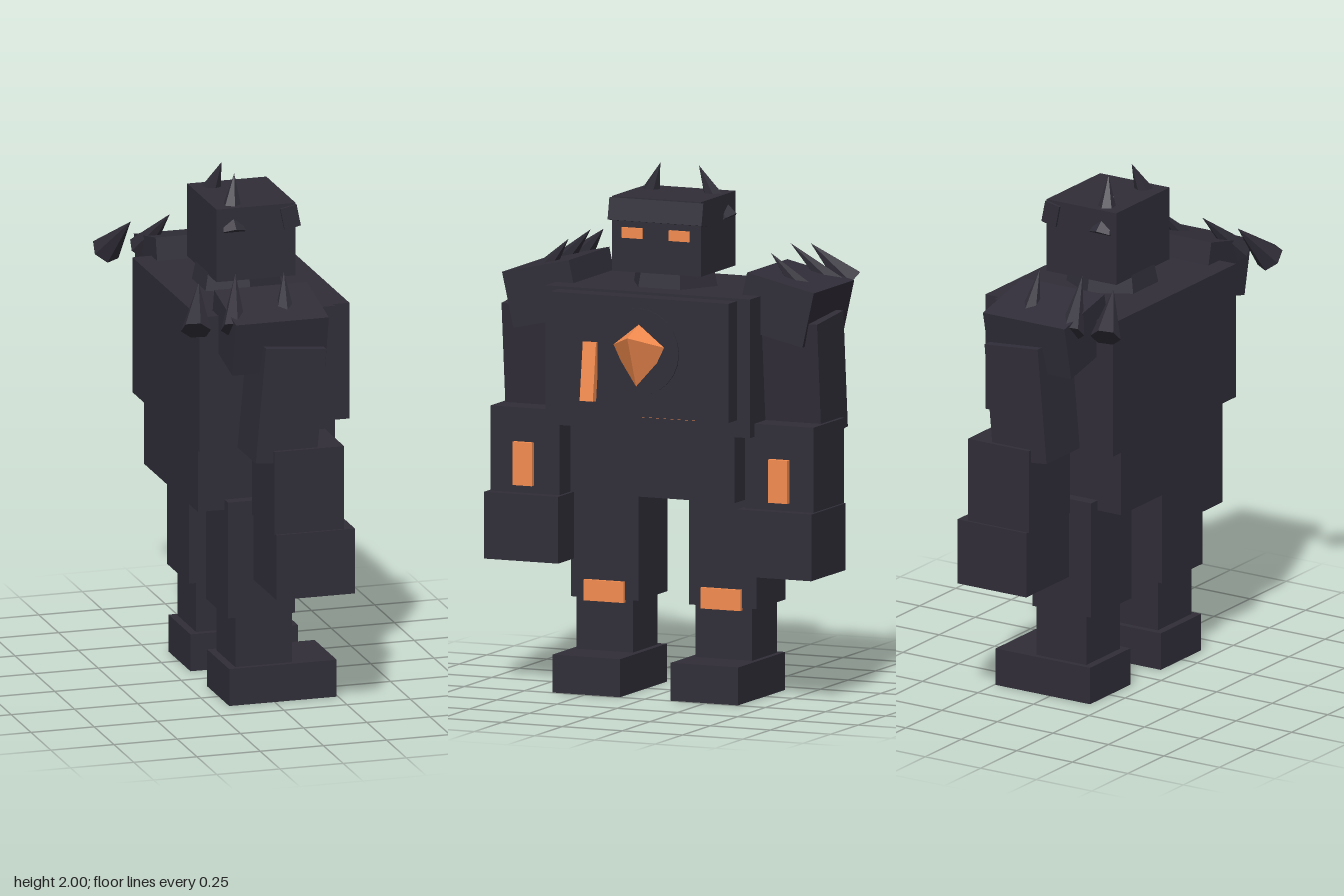
import * as THREE from 'three';
import { ConvexGeometry } from 'three/addons/geometries/ConvexGeometry.js';

const dark = new THREE.MeshStandardMaterial({ color: 0x302d38, flatShading: true });
const glow = new THREE.MeshStandardMaterial({ color: 0xf58d50, flatShading: true });

export function createModel() {
  const root = new THREE.Group();

  function add(name, geometry, material = dark) {
    const mesh = new THREE.Mesh(geometry, material);
    mesh.name = name;
    root.add(mesh);
    return mesh;
  }

  // Box given by its extents on each axis
  function box(name, [x0, x1], [y0, y1], [z0, z1], material = dark) {
    const mesh = add(name, new THREE.BoxGeometry(x1 - x0, y1 - y0, z1 - z0), material);
    mesh.position.set((x0 + x1) / 2, (y0 + y1) / 2, (z0 + z1) / 2);
    return mesh;
  }

  // Box on one side of the body, s = 1 or -1
  function sideBox(name, s, x, y, [z0, z1], material) {
    return box(name, x, y, s > 0 ? [z0, z1] : [-z1, -z0], material);
  }

  // Six-sided spike from a base centre to a tip
  function spike(name, s, base, tip, radius) {
    const a = new THREE.Vector3(base[0], base[1], base[2] * s);
    const b = new THREE.Vector3(tip[0], tip[1], tip[2] * s);
    const dir = b.clone().sub(a);
    const mesh = add(name, new THREE.ConeGeometry(radius, dir.length(), 6));
    mesh.position.copy(a).add(b).multiplyScalar(0.5);
    mesh.quaternion.setFromUnitVectors(new THREE.Vector3(0, 1, 0), dir.normalize());
  }

  // Body
  box('torso', [-0.31, 0.225], [1.02, 1.55], [-0.425, 0.425]);
  box('abdomen', [-0.29, 0.18], [0.76, 1.02], [-0.34, 0.34]);
  box('chestPlate', [0.22, 0.3], [1.085, 1.54], [-0.37, 0.37]);

  const disc = add('chestDisc', new THREE.CylinderGeometry(0.165, 0.165, 0.04, 24));
  disc.rotation.z = Math.PI / 2;
  disc.position.set(0.285, 1.335, 0);

  // Faceted chest gem
  add('chestGem', new ConvexGeometry([
    [0.41, 1.4, 0], [0.3, 1.44, 0], [0.33, 1.205, 0],
    [0.29, 1.35, 0.12], [0.29, 1.35, -0.12], [0.24, 1.3, 0],
  ].map((p) => new THREE.Vector3(...p))), glow);

  // Glowing cracks on the chest
  const crack = box('chestCrack', [0.3, 0.33], [1.135, 1.36], [0.173, 0.228], glow);
  crack.rotation.z = 0.13;
  box('lowerChestCrack', [0.25, 0.275], [1.08, 1.1], [-0.23, 0], glow);

  // Neck and head
  const neck = add('neck', new THREE.CylinderGeometry(0.155, 0.18, 0.12, 6));
  neck.position.set(-0.03, 1.58, 0);
  box('head', [-0.168, 0.145], [1.61, 1.895], [-0.185, 0.185]);
  const brow = box('brow', [0.09, 0.155], [1.8, 1.885], [-0.195, 0.195]);
  brow.rotation.z = 0.2;

  for (const s of [1, -1]) {
    sideBox('eye', s, [0.13, 0.155], [1.74, 1.78], [0.055, 0.14], glow);
    spike('horn', s, [-0.09, 1.88, 0.13], [-0.065, 2, 0.08], 0.038);
    spike('templeSpike', s, [-0.1, 1.795, 0.175], [-0.1, 1.93, 0.1], 0.052);

    // Arm
    const pad = sideBox('shoulderPad', s, [-0.235, 0.132], [1.392, 1.608], [0.348, 0.632]);
    pad.position.z = s * 0.485;
    pad.rotation.x = s * 0.22;
    spike('shoulderSpike', s, [-0.37, 1.545, 0.57], [-0.315, 1.69, 0.43], 0.058);
    spike('shoulderSpike', s, [-0.225, 1.54, 0.585], [-0.165, 1.71, 0.415], 0.05);
    spike('shoulderSpike', s, [-0.01, 1.56, 0.54], [0.025, 1.7, 0.42], 0.042);
    const arm = sideBox('upperArm', s, [-0.14, 0.1], [1.015, 1.465], [0.42, 0.655]);
    arm.rotation.z = -0.09;
    sideBox('forearm', s, [-0.09, 0.185], [0.745, 1.07], [0.385, 0.67]);
    sideBox('forearmLight', s, [0.17, 0.205], [0.775, 0.94], [0.49, 0.57], glow);
    sideBox('hand', s, [-0.085, 0.225], [0.49, 0.745], [0.372, 0.68]);

    // Leg
    sideBox('thigh', s, [-0.185, 0.08], [0.345, 0.8], [0.105, 0.385]);
    sideBox('kneeLight', s, [0.06, 0.095], [0.335, 0.415], [0.16, 0.325], glow);
    sideBox('shin', s, [-0.15, 0.075], [0.14, 0.35], [0.13, 0.365]);
    sideBox('foot', s, [-0.18, 0.245], [0, 0.145], [0.105, 0.385]);
  }

  return root;
}
